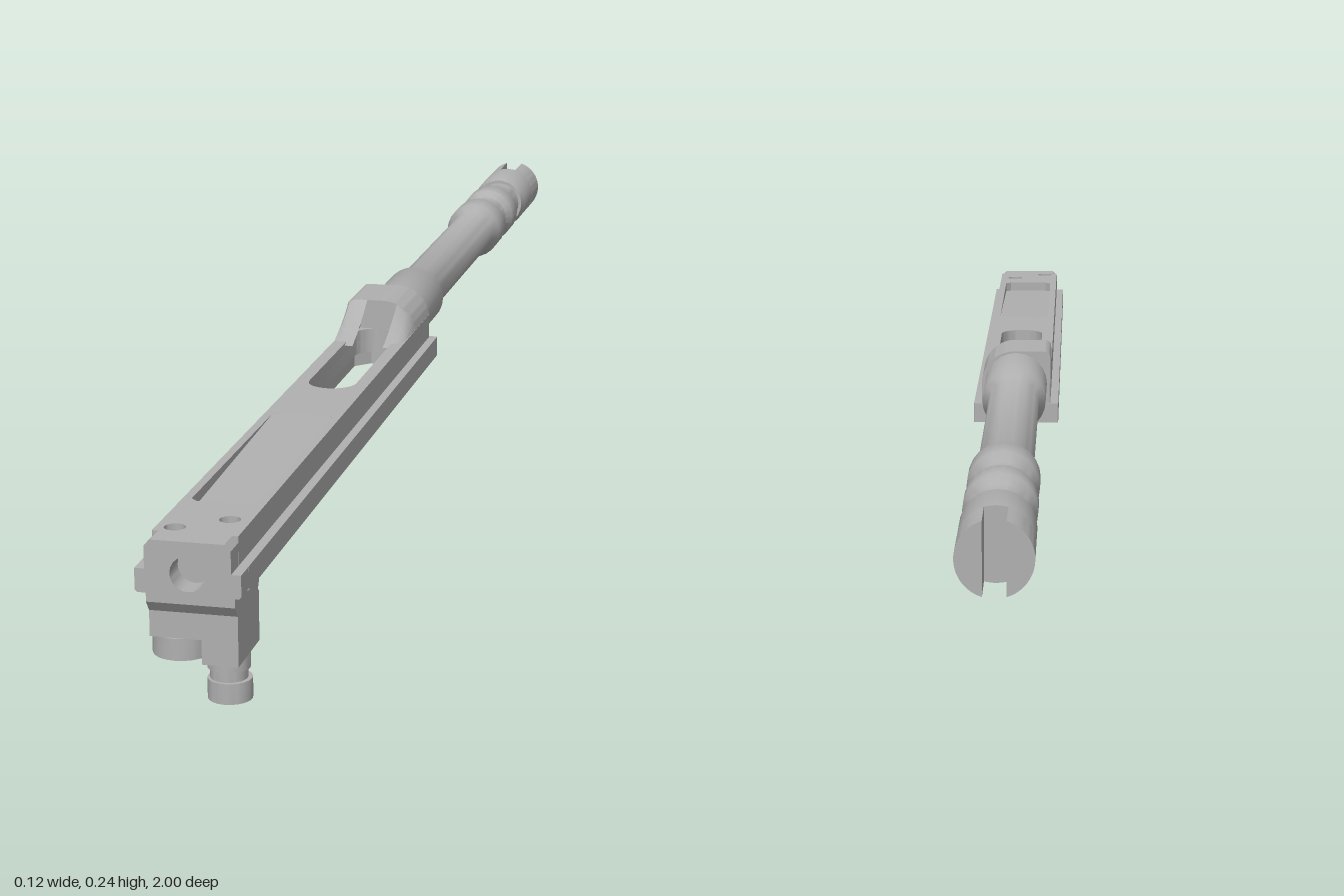
import * as THREE from 'three';
import { toCreasedNormals } from 'three/addons/utils/BufferGeometryUtils.js';

export function createModel() {
  const model = new THREE.Group();
  const steel = new THREE.MeshStandardMaterial({ color: 0xb0b0b0 });
  steel.name = 'steel grey';

  const add = (name, geometry) => {
    const mesh = new THREE.Mesh(toCreasedNormals(geometry, 0.6), steel);
    mesh.name = name;
    model.add(mesh);
    return mesh;
  };
  const box = (name, x0, x1, y0, y1, z0, z1) => add(name,
    new THREE.BoxGeometry(x1 - x0, y1 - y0, z1 - z0)
      .translate((x0 + x1) / 2, (y0 + y1) / 2, (z0 + z1) / 2));
  const poly = (pts) => new THREE.Shape(pts.map(([a, b]) => new THREE.Vector2(a, b)));
  const extrude = (shape, depth, steps = 1) =>
    new THREE.ExtrudeGeometry(shape, { depth, steps, bevelEnabled: false, curveSegments: 10 });

  // Outlines in plan, drawn as (x, z)
  const rect = (w, z0, z1, c = 0.001) => poly([
    [-w + c, z0], [w - c, z0], [w, z0 + c], [w, z1 - c],
    [w - c, z1], [-w + c, z1], [-w, z1 - c], [-w, z0 + c]]);
  const stadium = (r, z0, z1) => {
    const s = new THREE.Shape();
    s.absarc(0, z1 - r, r, 0, Math.PI, false);
    s.absarc(0, z0 + r, r, Math.PI, Math.PI * 2, false);
    s.closePath();
    return s;
  };
  const circle = (x, z, r) => {
    const s = new THREE.Shape();
    s.absarc(x, z, r, 0, Math.PI * 2, false);
    return s;
  };
  // Horizontal plate with holes between two heights
  const slab = (name, outline, holes, y0, y1) => {
    outline.holes.push(...holes);
    add(name, extrude(outline, y1 - y0).rotateX(Math.PI / 2).translate(0, y1, 0));
  };
  // Side profile drawn as (z, y), extruded across x
  const across = (name, pts, x0, x1) => add(name,
    extrude(poly(pts), x1 - x0).rotateY(-Math.PI / 2).translate(x1, 0, 0));

  // Receiver: rails with underside pockets, floor, and recessed top
  const opening = () => stadium(0.031, 0.065, 0.38);
  slab('sideRails', rect(0.059, -0.035, 0.97),
    [rect(0.042, 0.03, 0.41, 0.02), rect(0.042, 0.44, 0.87, 0.012)], 0.14, 0.167);
  slab('receiverFloor', rect(0.048, -0.03, 0.97), [opening()], 0.167, 0.186);
  slab('receiverTop', rect(0.048, -0.03, 0.97), [
    opening(), rect(0.038, 0.5, 0.862, 0.008),
    circle(-0.027, 0.954, 0.012), circle(0.024, 0.917, 0.012),
  ], 0.186, 0.2);
  across('recessRamp', [[0.5, 0.186], [0.862, 0.186], [0.5, 0.2]], -0.038, 0.038);

  // Front cap with a round socket
  const cap = poly([[-0.056, 0.14], [0.056, 0.14], [0.059, 0.143], [0.059, 0.167],
    [0.048, 0.167], [0.048, 0.193], [0.041, 0.2], [-0.041, 0.2],
    [-0.048, 0.193], [-0.048, 0.167], [-0.059, 0.167], [-0.059, 0.143]]);
  cap.holes.push(circle(0, 0.164, 0.02));
  add('frontCap', extrude(cap, 0.03).translate(0, 0, 0.97));

  // Hump around the barrel seat, squared on one side and rounded on the other
  const hump = new THREE.Shape();
  hump.moveTo(-0.048, 0.195);
  hump.lineTo(-0.048, 0.23);
  hump.quadraticCurveTo(-0.048, 0.24, -0.038, 0.24);
  hump.lineTo(0.003, 0.24);
  hump.absellipse(0.003, 0.195, 0.045, 0.045, Math.PI / 2, 0, true);
  hump.closePath();
  add('barrelSeat', extrude(hump, 0.095).translate(0, 0, -0.03));

  // Walls sloping down beside the opening
  const slope = (name, shape) => {
    const g = extrude(shape, 0.09, 8);
    const p = g.attributes.position;
    for (let i = 0; i < p.count; i++) {
      const t = p.getZ(i) / 0.09;
      const k = (1 - t) * (1 - 0.35 * t);
      p.setY(i, 0.197 + (p.getY(i) - 0.197) * k);
    }
    g.computeVertexNormals();
    add(name, g.translate(0, 0, 0.065));
  };
  slope('rightSlope', poly([[-0.048, 0.197], [-0.031, 0.197], [-0.028, 0.215],
    [-0.02, 0.24], [-0.038, 0.24], [-0.045, 0.237], [-0.048, 0.23]]));
  slope('leftSlope', poly([[0.031, 0.197], [0.048, 0.197], [0.045, 0.212],
    [0.036, 0.225], [0.022, 0.236], [0.028, 0.215]]));

  // Barrel: distances run backwards along -z
  const profile = [[0, 0], [0.043, 0], [0.043, 0.155], [0.034, 0.17],
    [0.034, 0.6], [0.043, 0.618], [0.043, 0.67], [0.034, 0.69],
    [0.034, 0.728], [0.043, 0.742], [0.043, 0.785], [0.034, 0.8],
    [0.034, 0.85], [0.039, 0.85], [0.043, 0.862], [0.043, 0.937], [0, 0.937]]
    .map(([r, d]) => new THREE.Vector2(r, d));
  add('barrel', new THREE.LatheGeometry(profile, 24)
    .rotateX(-Math.PI / 2).translate(0, 0.195, 0));

  // Muzzle prongs either side of the vertical slot
  for (const side of [-1, 1]) {
    const prong = new THREE.Shape();
    const a = Math.acos(0.013 / 0.043);
    const mid = side > 0 ? 0 : Math.PI;
    prong.absarc(0, 0, 0.043, mid - a, mid + a, false);
    prong.closePath();
    add(side > 0 ? 'leftProng' : 'rightProng',
      extrude(prong, 0.065).translate(0, 0.195, -1));
  }

  // Ribs and a small catch inside the underside pocket
  const rib = (name, z0, z1, x, dx) => {
    const zs = [0, 0.35, 0.45, 0.75, 0.85, 1].map((t) => z0 + (z1 - z0) * t);
    const xs = [x, x, x + dx, x + dx, x, x];
    const edge = zs.map((z, i) => [xs[i], z]);
    const back = zs.map((z, i) => [xs[i] - 0.008, z]).reverse();
    slab(name, poly([...edge, ...back]), [], 0.143, 0.168);
  };
  rib('longRib', 0.5, 0.75, -0.022, 0.012);
  rib('shortRib', 0.78, 0.87, -0.018, 0.01);
  box('catch', 0.015, 0.035, 0.134, 0.15, 0.82, 0.855);

  // Front head: stepped collar and forked block
  across('headCollar', [[0.99, 0.141], [0.99, 0.126], [0.98, 0.113],
    [0.9, 0.113], [0.893, 0.126], [0.893, 0.141]], -0.05, 0.049);
  box('headFront', -0.05, 0.049, 0.083, 0.114, 0.935, 0.98);
  box('headLeft', 0.008, 0.049, 0.055, 0.114, 0.895, 0.98);
  box('headRight', -0.05, -0.008, 0.06, 0.114, 0.895, 0.965);

  // Round foot, and peg with a wider tip
  const cylinder = (name, r, y0, y1, x, z) => add(name,
    new THREE.CylinderGeometry(r, r, y1 - y0, 20).translate(x, (y0 + y1) / 2, z));
  cylinder('foot', 0.033, 0.058, 0.083, -0.022, 0.95);
  cylinder('pegStem', 0.021, 0.02, 0.06, 0.024, 0.93);
  cylinder('pegTip', 0.025, 0, 0.024, 0.025, 0.93);
  cylinder('pegCollar', 0.024, 0.036, 0.053, 0.024, 0.93);

  return model;
}
